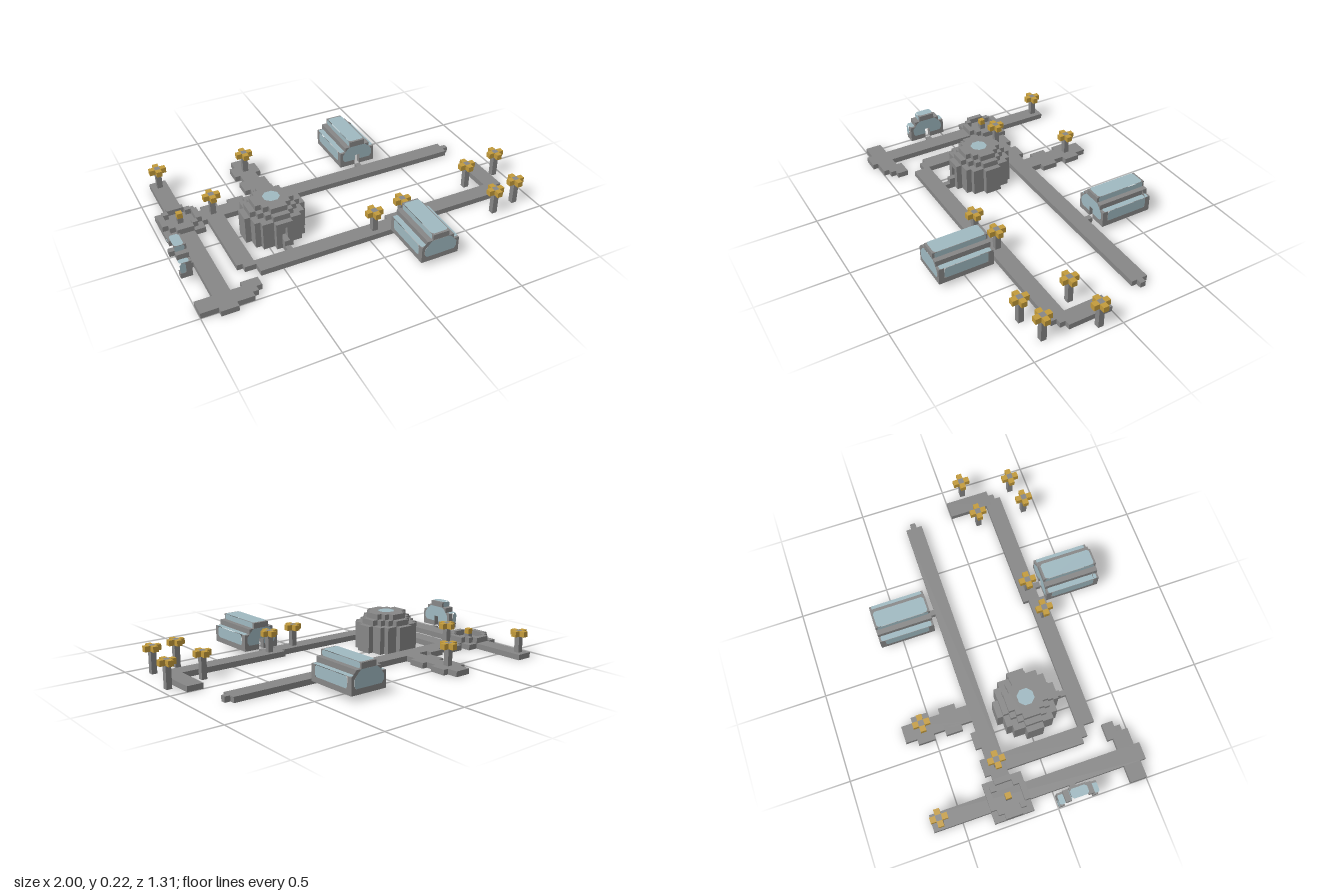
import * as THREE from 'three';

const stone = new THREE.MeshStandardMaterial({ color: 0x888888 });
stone.name = 'stone grey';
const gold = new THREE.MeshStandardMaterial({ color: 0xc49c3c });
gold.name = 'lamp gold';
const glass = new THREE.MeshStandardMaterial({ color: 0xa0bac2 });
glass.name = 'pale glass';

// Everything is laid out in whole blocks; the root group scales 32 blocks to one unit.
function block(parent, name, x0, x1, y0, y1, z0, z1, material = stone) {
  const m = new THREE.Mesh(new THREE.BoxGeometry(x1 - x0, y1 - y0, z1 - z0), material);
  m.position.set((x0 + x1) / 2, (y0 + y1) / 2, (z0 + z1) / 2);
  m.name = name;
  parent.add(m);
  return m;
}

function group(parent, name) {
  const g = new THREE.Group();
  g.name = name;
  parent.add(g);
  return g;
}

const shapeOf = (pts) => new THREE.Shape(pts.map(([x, y]) => new THREE.Vector2(x, y)));

// Flat pane with clipped corners, facing +z before it is rotated.
function pane(parent, w, h, position, rotation, c = 0.35) {
  const a = w / 2, b = h / 2;
  const m = new THREE.Mesh(new THREE.ShapeGeometry(shapeOf([
    [-a + c, -b], [a - c, -b], [a, -b + c], [a, b - c],
    [a - c, b], [-a + c, b], [-a, b - c], [-a, -b + c]])), glass);
  m.position.set(...position);
  m.rotation.set(...rotation);
  m.name = 'glassPane';
  parent.add(m);
}

// Mirrors the right half of an outline (listed bottom to top).
const mirrored = (half) => [...half, ...half.slice().reverse().map(([x, y]) => [-x, y])];

const GABLE = [[3.5, 1], [3.5, 4], [2.5, 4], [2.5, 5], [1.5, 5], [1.5, 6]];
const WINDOW = [[2.6, 2], [3, 2.5], [3, 3.5], [2.2, 4.5], [1.6, 5]];
const DOOR = [[0.5, 1], [0.5, 3]];

// Stepped glasshouse: door end at z = 0 facing +z, running back by length.
function glasshouse(parent, name, x, z, turn, length, closed) {
  const g = group(parent, name);
  g.position.set(x, 0, z);
  g.rotation.y = turn;
  const end = (label, outline, hole, zPos) => {
    const s = shapeOf(outline);
    if (hole) s.holes.push(shapeOf(hole));
    const m = new THREE.Mesh(new THREE.ExtrudeGeometry(s, { depth: 1, bevelEnabled: false }), stone);
    m.position.z = zPos;
    m.name = label;
    g.add(m);
  };
  const windowPane = (outline, zPos, ry) => {
    const m = new THREE.Mesh(new THREE.ShapeGeometry(shapeOf(outline)), glass);
    m.position.z = zPos;
    m.rotation.y = ry;
    m.name = 'endWindow';
    g.add(m);
  };
  // End walls
  const doorJamb = DOOR.slice().reverse();
  end('doorWall', mirrored([...doorJamb, ...GABLE]), null, -1);
  windowPane(mirrored([[0.5, 3], [0.5, 2], ...WINDOW]), 0.06, 0);
  if (closed) {
    end('backWall', mirrored(GABLE), mirrored(WINDOW), -length);
    windowPane(mirrored(WINDOW), -length - 0.06, Math.PI);
  }
  // Rails and panes down both sides
  const back = closed ? 1 : 0;
  const lowLen = length - 1 - back, lowMid = -1 - lowLen / 2;
  const hiLen = length - 0.35 * (1 + back), hiMid = -0.35 - hiLen / 2;
  for (const s of [-1, 1]) {
    const side = [0, s * Math.PI / 2, 0];
    block(g, 'baseRail', s * 3 - 0.5, s * 3 + 0.5, 1, 2, -length, -0.02);
    block(g, 'roofRail', s * 2 - 0.5, s * 2 + 0.5, 4, 5, -length, -0.02);
    pane(g, lowLen, 2, [s * 3.56, 3, lowMid], side);
    pane(g, 1, hiLen, [s * 3, 4.06, hiMid], [-Math.PI / 2, 0, 0], 0.2);
    pane(g, hiLen, 1, [s * 1.56, 5.5, hiMid], side, 0.2);
  }
  pane(g, 3, hiLen, [0, 6.06, hiMid], [-Math.PI / 2, 0, 0]);
  // Doorstep
  block(g, 'doorstep', -0.5, 0.5, 0, 1, 0, 1);
}

// Round slab made of block rows; a gap leaves out the front middle block.
function disc(parent, name, cx, cz, y0, y1, r2, gap = false) {
  const r = Math.floor(Math.sqrt(r2));
  for (let d = -r; d <= r; d++) {
    const w = Math.floor(Math.sqrt(r2 - d * d)) + 0.5;
    const z0 = cz + d - 0.5, z1 = cz + d + 0.5;
    if (gap && d === r) {
      block(parent, name, cx - w, cx - 0.5, y0, y1, z0, z1);
      block(parent, name, cx + 0.5, cx + w, y0, y1, z0, z1);
    } else block(parent, name, cx - w, cx + w, y0, y1, z0, z1);
  }
}

function lamp(parent, x, z) {
  const g = group(parent, 'lamp');
  g.position.set(x, 0, z);
  block(g, 'lampPost', -0.5, 0.5, 0, 5, -0.5, 0.5);
  for (const [dx, dz] of [[1, 0], [-1, 0], [0, 1], [0, -1]])
    block(g, 'lampArm', dx - 0.5, dx + 0.5, 4, 5, dz - 0.5, dz + 0.5, gold);
}

export function createModel() {
  const root = new THREE.Group();
  root.name = 'settlement';
  const town = group(root, 'town');
  town.scale.setScalar(1 / 32);

  // Paths: x0, x1, z0, z1
  const paths = group(town, 'paths');
  [
    [-29, -26, -21, 17], [-31, -24, -11, -4],                       // west lane, plaza
    [-32, -23, 13, 16], [-24, -21, 12, 14], [-23, -22, 14, 15],     // south-west spur
    [-24, 26, -9, -6], [26, 27, -8, -7], [-18, -15, -10, -9],       // north lane
    [-13, -10, -21, -9], [-14, -9, -19, -16], [-14, -9, -14, -11],  // north spur
    [-23, -20, -10, 8], [-22, -20, 8, 9],                           // inner lane
    [-20, 5, 8, 11], [5, 27, 7, 10], [27, 28, 8, 9],                // south lane
    [26, 29, 0, 8],                                                 // east spur
  ].forEach(([x0, x1, z0, z1]) => block(paths, 'path', x0, x1, 0, 1, z0, z1));

  // Fountain: ring of blocks around a gold-tipped column
  const fountain = group(town, 'fountain');
  for (let i = -3; i <= 3; i++)
    for (let k = -3; k <= 3; k++) {
      const d = i * i + k * k;
      if (d >= 8 && d <= 10)
        block(fountain, 'fountainRim', i - 28, i - 27, 1, 2, k - 8, k - 7);
    }
  block(fountain, 'fountainColumn', -28, -27, 1, 2, -8, -7);
  block(fountain, 'fountainTip', -28, -27, 2, 3, -8, -7, gold);

  // Domed hall with a recessed door and skylight
  const hall = group(town, 'domedHall');
  disc(hall, 'hallBase', -13.5, 0.5, 0, 2, 27);
  disc(hall, 'hallWall', -13.5, 0.5, 2, 4, 27, true);
  disc(hall, 'hallWall', -13.5, 0.5, 4, 5, 27);
  disc(hall, 'hallRoof', -13.5, 0.5, 5, 6, 17);
  disc(hall, 'hallRoof', -13.5, 0.5, 6, 7, 10);
  pane(hall, 2.8, 2.8, [-13.5, 7.06, 0.5], [-Math.PI / 2, 0, 0], 0.8);
  block(hall, 'hallStep', -14, -13, 0, 2, 6, 7);
  block(hall, 'hallStep', -14, -13, 0, 1, 7, 8);

  // Glasshouses
  glasshouse(town, 'northGlasshouse', 8.5, -10, 0, 10, true);
  glasshouse(town, 'southGlasshouse', 7.5, 11, Math.PI, 10, true);
  glasshouse(town, 'westGlasshouse', -30, 3.5, Math.PI / 2, 2, false);

  // Lamps
  [[-27.5, -19.5], [-11.5, -17.5], [-21.5, -7.5], [1.5, 9.5], [7.5, 8.5],
    [23.5, 4.5], [30.5, 3.5], [23.5, 13.5], [28.5, 12.5]].forEach(([x, z]) => lamp(town, x, z));

  return root;
}
